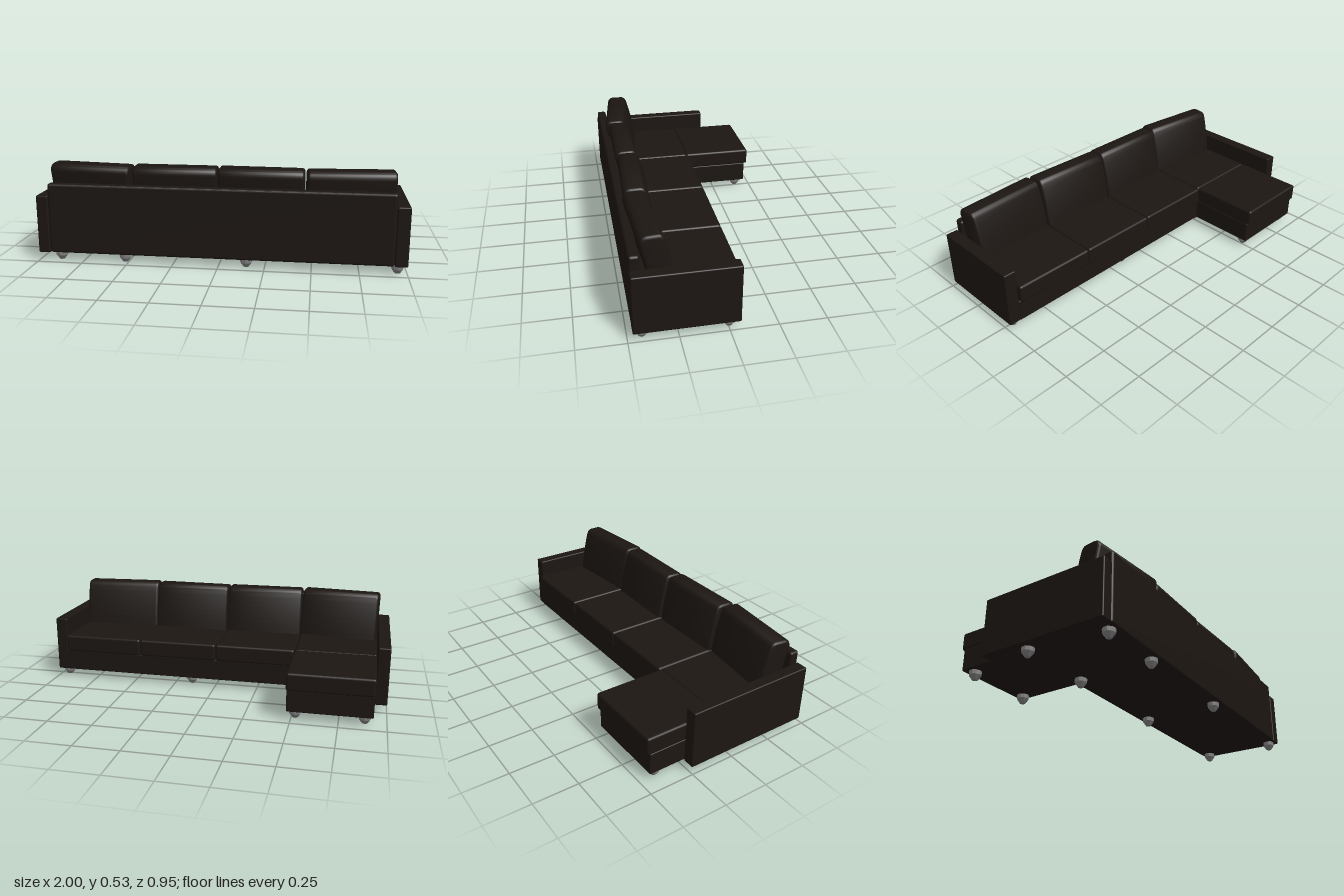
import * as THREE from 'three';
import { RoundedBoxGeometry } from 'three/addons/geometries/RoundedBoxGeometry.js';
import { toCreasedNormals } from 'three/addons/utils/BufferGeometryUtils.js';

const leather = new THREE.MeshStandardMaterial({ color: 0x1c1612 });
const metal = new THREE.MeshStandardMaterial({ color: 0x808080, flatShading: true });

// Rounded block given by its limits on each axis
function block(name, [x0, x1], [y0, y1], [z0, z1], radius) {
  const mesh = new THREE.Mesh(new RoundedBoxGeometry(x1 - x0, y1 - y0, z1 - z0, 3, radius), leather);
  mesh.position.set((x0 + x1) / 2, (y0 + y1) / 2, (z0 + z1) / 2);
  mesh.name = name;
  return mesh;
}

// Leaning back cushion: side profile in (z, y), extruded across its width
function backCushionGeometry(width) {
  const pz = 0.345; // pivot depth
  const p = (z, y) => [pz - z, y];
  const s = new THREE.Shape();
  s.moveTo(...p(0.262, 0.255));
  s.quadraticCurveTo(...p(0.278, 0.39), ...p(0.312, 0.505));
  s.quadraticCurveTo(...p(0.322, 0.533), ...p(0.345, 0.534));
  s.lineTo(...p(0.4, 0.533));
  s.quadraticCurveTo(...p(0.437, 0.528), ...p(0.436, 0.488));
  s.lineTo(...p(0.385, 0.255));
  s.closePath();
  const b = 0.016;
  const geo = new THREE.ExtrudeGeometry(s, {
    depth: width - 2 * b, bevelThickness: b, bevelSize: b, bevelOffset: -b,
    bevelSegments: 4, curveSegments: 8,
  });
  geo.translate(0, 0, b - width / 2);
  geo.rotateY(Math.PI / 2);
  geo.translate(0, 0, 0);
  return toCreasedNormals(geo, 0.7);
}

export function createModel() {
  const sofa = new THREE.Group();
  sofa.name = 'cornerSofa';

  // Frame: base, chaise base, backrest and arms of unequal length
  sofa.add(
    block('seatBase', [-0.935, 0.935], [0.046, 0.17], [-0.06, 0.44], 0.006),
    block('chaiseBase', [-0.93, -0.475], [0.046, 0.17], [-0.457, 0], 0.006),
    block('backrest', [-0.933, 0.93], [0.046, 0.435], [0.421, 0.475], 0.014),
    block('longArm', [-1, -0.934], [0.045, 0.367], [-0.256, 0.475], 0.007),
    block('shortArm', [0.931, 1], [0.045, 0.367], [-0.057, 0.475], 0.007),
  );

  // Seat cushions, with the chaise cushion ahead of the first
  const spans = [[-0.932, -0.472], [-0.469, -0.008], [-0.005, 0.456], [0.459, 0.927]];
  spans.forEach((span, i) => {
    sofa.add(block('seatCushion', span, [0.168, 0.267], [i === 0 ? -0.065 : -0.077, 0.425], 0.013));
  });
  sofa.add(block('chaiseCushion', spans[0], [0.168, 0.267], [-0.475, -0.063], 0.013));

  // Loose back cushions, each turned a little differently
  const turns = [-0.12, 0, -0.03, 0.07];
  spans.forEach(([x0, x1], i) => {
    const cushion = new THREE.Mesh(backCushionGeometry(x1 - x0 - 0.004), leather);
    cushion.position.set((x0 + x1) / 2, 0, i === 0 ? 0.335 : 0.345);
    cushion.rotation.y = turns[i];
    cushion.name = 'backCushion';
    sofa.add(cushion);
  });

  // Tapered faceted feet
  const footGeo = new THREE.LatheGeometry(
    [[0, 0], [0.015, 0], [0.032, 0.024], [0.034, 0.047], [0, 0.047]].map(([r, y]) => new THREE.Vector2(r, y)), 10);
  const feet = [
    [0.95, 0.428], [0.15, 0.428], [-0.52, 0.428], [-0.885, 0.428],
    [0.95, -0.005], [0.15, -0.005], [-0.52, -0.005], [-0.94, -0.005],
    [-0.52, -0.405], [-0.885, -0.405],
  ];
  for (const [x, z] of feet) {
    const foot = new THREE.Mesh(footGeo, metal);
    foot.position.set(x, 0, z);
    foot.name = 'foot';
    sofa.add(foot);
  }
  return sofa;
}
